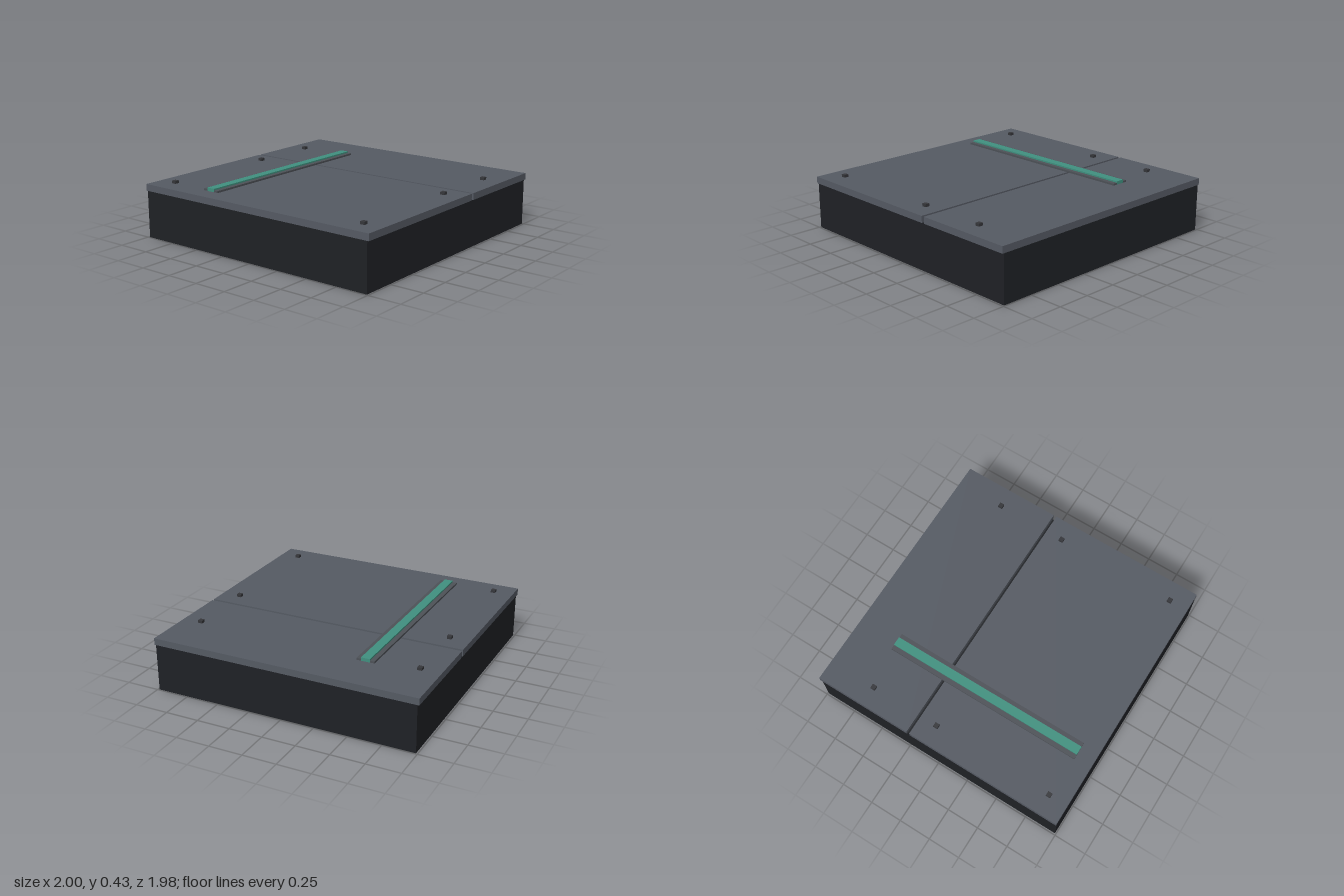
import * as THREE from 'three';

const material = (color, extra = {}) =>
  new THREE.MeshStandardMaterial({ color, ...extra });

export function createModel() {
  const model = new THREE.Group();
  const slabMat = material(0x555a63);
  const bodyMat = material(0x1f2125, { side: THREE.DoubleSide });
  const railMat = material(0x4d5157);
  const stripMat = material(0x40907f);
  const pegMat = material(0x35363a);

  // Box given by its min and max corners
  function box(name, mat, [x0, y0, z0], [x1, y1, z1]) {
    const mesh = new THREE.Mesh(new THREE.BoxGeometry(x1 - x0, y1 - y0, z1 - z0), mat);
    mesh.position.set((x0 + x1) / 2, (y0 + y1) / 2, (z0 + z1) / 2);
    mesh.name = name;
    model.add(mesh);
    return mesh;
  }

  // Hollow base: thin-walled box, open underneath
  const W = 0.988, D = 0.992, H = 0.35, T = 0.4;
  const base = new THREE.Group();
  base.name = 'base';
  function panel(name, w, h, pos, rot) {
    const mesh = new THREE.Mesh(new THREE.PlaneGeometry(w, h), bodyMat);
    mesh.name = name;
    mesh.position.set(...pos);
    mesh.rotation.set(...rot);
    base.add(mesh);
  }
  panel('frontWall', 2 * W, H, [0, H / 2, D], [0, 0, 0]);
  panel('backWall', 2 * W, H, [0, H / 2, -D], [0, Math.PI, 0]);
  panel('leftWall', 2 * D, H, [W, H / 2, 0], [0, Math.PI / 2, 0]);
  panel('rightWall', 2 * D, H, [-W, H / 2, 0], [0, -Math.PI / 2, 0]);
  panel('deck', 2 * W, 2 * D, [0, H - 0.001, 0], [-Math.PI / 2, 0, 0]);
  model.add(base);

  // Two cover slabs with a narrow gap between them
  box('rearSlab', slabMat, [-1, H, -D], [1, T, -0.24]);
  box('frontSlab', slabMat, [-1, H, -0.217], [1, T, D]);

  // Raised channel: two side rails and a coloured strip
  const zBack = -0.674, zFront = 0.862;
  box('outerRail', railMat, [-0.545, T, zBack], [-0.511, 0.414, zFront]);
  box('innerRail', railMat, [-0.445, T, zBack], [-0.411, 0.414, zFront]);
  box('strip', stripMat, [-0.511, T, zBack], [-0.445, 0.425, zFront]);

  // Small square pegs in three mirrored pairs
  const s = 0.017;
  for (const z of [-0.618, -0.083, 0.845])
    for (const x of [-0.852, 0.852])
      box('peg', pegMat, [x - s, T, z - s], [x + s, 0.42, z + s]);

  return model;
}
